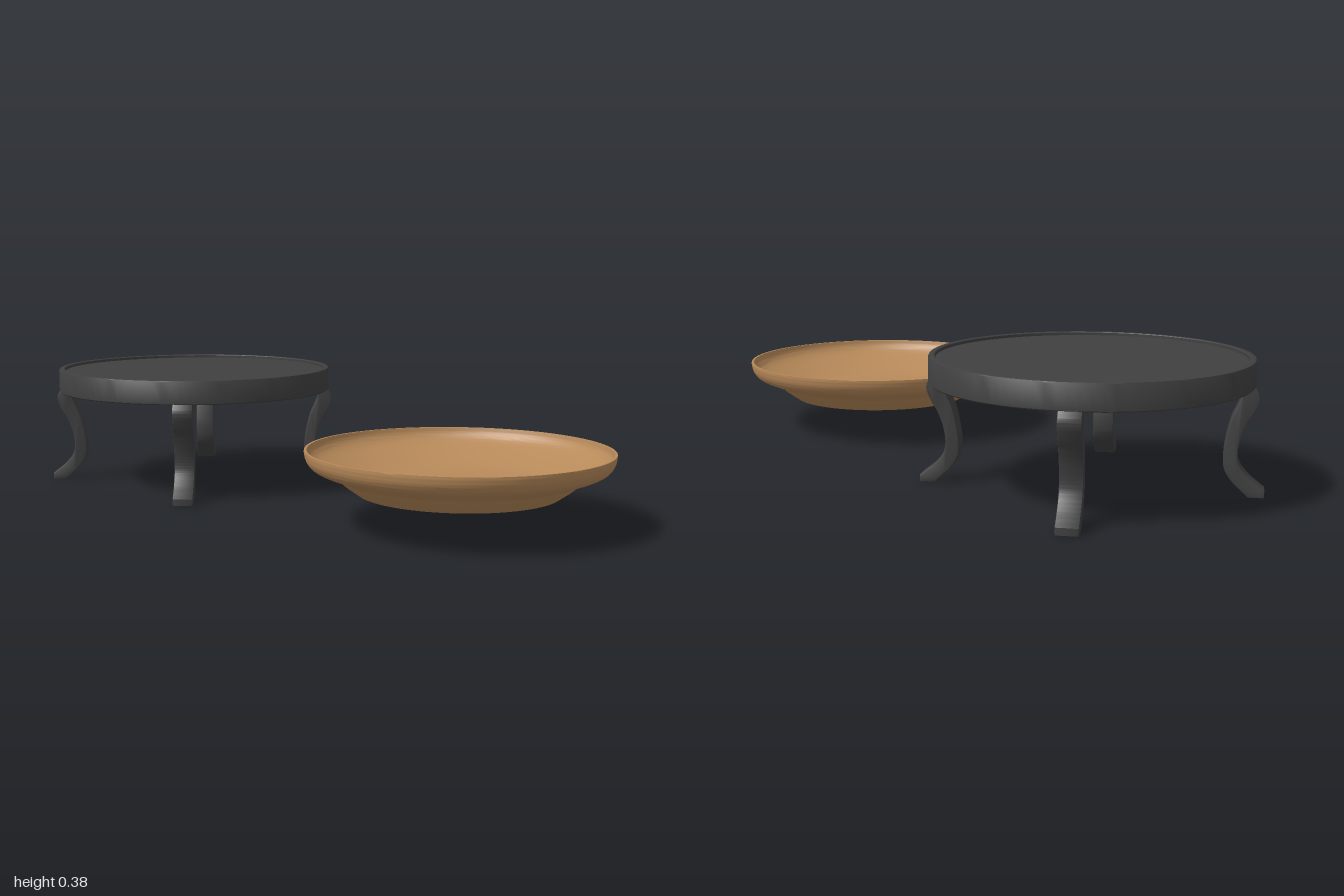
import * as THREE from 'three';
import { toCreasedNormals } from 'three/addons/utils/BufferGeometryUtils.js';

const iron = new THREE.MeshStandardMaterial({ color: 0x404040 });
iron.name = 'dark iron';
const clay = new THREE.MeshStandardMaterial({ color: 0xb88a5a });
clay.name = 'tan clay';

const vectors = (list) => list.map(([x, y]) => new THREE.Vector2(x, y));

// Solid of revolution; profile runs from bottom centre outwards to top centre
function turned(name, points, material, crease) {
  const geometry = toCreasedNormals(new THREE.LatheGeometry(points, 96), crease);
  const mesh = new THREE.Mesh(geometry, material);
  mesh.name = name;
  return mesh;
}

// S-curved leg: side profile (radius, height) extruded to a flat bar
function legGeometry() {
  const outer = vectors([[0.478, 0.018], [0.462, 0.03], [0.436, 0.052], [0.41, 0.085], [0.403, 0.12],
    [0.41, 0.165], [0.425, 0.205], [0.443, 0.235], [0.456, 0.265], [0.456, 0.285], [0.444, 0.306]]);
  const inner = vectors([[0.415, 0.306], [0.416, 0.28], [0.405, 0.25], [0.39, 0.215], [0.378, 0.165],
    [0.372, 0.12], [0.375, 0.08], [0.392, 0.05], [0.42, 0.022], [0.44, 0.004]]);
  const shape = new THREE.Shape();
  shape.moveTo(0.44, 0.004);
  shape.lineTo(0.478, 0.004);
  shape.lineTo(outer[0].x, outer[0].y);
  shape.splineThru(outer.slice(1));
  shape.lineTo(inner[0].x, inner[0].y);
  shape.splineThru(inner.slice(1));
  const geometry = new THREE.ExtrudeGeometry(shape, {
    depth: 0.054, curveSegments: 24, bevelEnabled: true,
    bevelThickness: 0.004, bevelSize: 0.004, bevelSegments: 2,
  });
  geometry.translate(0, 0, -0.027);
  return toCreasedNormals(geometry, 0.6);
}

export function createModel() {
  const model = new THREE.Group();
  model.name = 'standAndPlate';

  // Round stand with a low raised rim
  const stand = new THREE.Group();
  stand.name = 'stand';
  stand.position.set(0.003, 0, -0.55);
  stand.add(turned('standTop', vectors([
    [0, 0.305], [0.447, 0.305], [0.45, 0.308], [0.45, 0.375], [0.448, 0.379], [0.444, 0.38],
    [0.433, 0.38], [0.431, 0.378], [0.431, 0.37], [0, 0.37],
  ]), iron, 0.6));

  // Four legs
  const geometry = legGeometry();
  for (let i = 0; i < 4; i++) {
    const leg = new THREE.Mesh(geometry, iron);
    leg.name = 'leg' + (i + 1);
    leg.rotation.y = -THREE.MathUtils.degToRad(48 + i * 90);
    stand.add(leg);
  }
  model.add(stand);

  // Shallow plate: foot with ring grooves, flared wall, upright lip, hollow inside
  const foot = vectors([[0, 0.092], [0.15, 0.093], [0.225, 0.096], [0.235, 0.1], [0.245, 0.096],
    [0.27, 0.095], [0.288, 0.096]]);
  const wall = new THREE.SplineCurve(vectors([[0.288, 0.096], [0.325, 0.122], [0.352, 0.143],
    [0.395, 0.16], [0.42, 0.173], [0.434, 0.193], [0.439, 0.216]])).getPoints(36);
  const hollow = new THREE.SplineCurve(vectors([[0.431, 0.22], [0.426, 0.203], [0.412, 0.187],
    [0.385, 0.172], [0.33, 0.152], [0.26, 0.133], [0.2, 0.126], [0.1, 0.124], [0, 0.124]])).getPoints(40);
  hollow[hollow.length - 1].x = 0;
  const plate = turned('plate', [...foot, ...wall.slice(1), new THREE.Vector2(0.438, 0.22), ...hollow], clay, 0.7);
  plate.position.set(-0.017, 0, 0.56);
  model.add(plate);

  return model;
}
